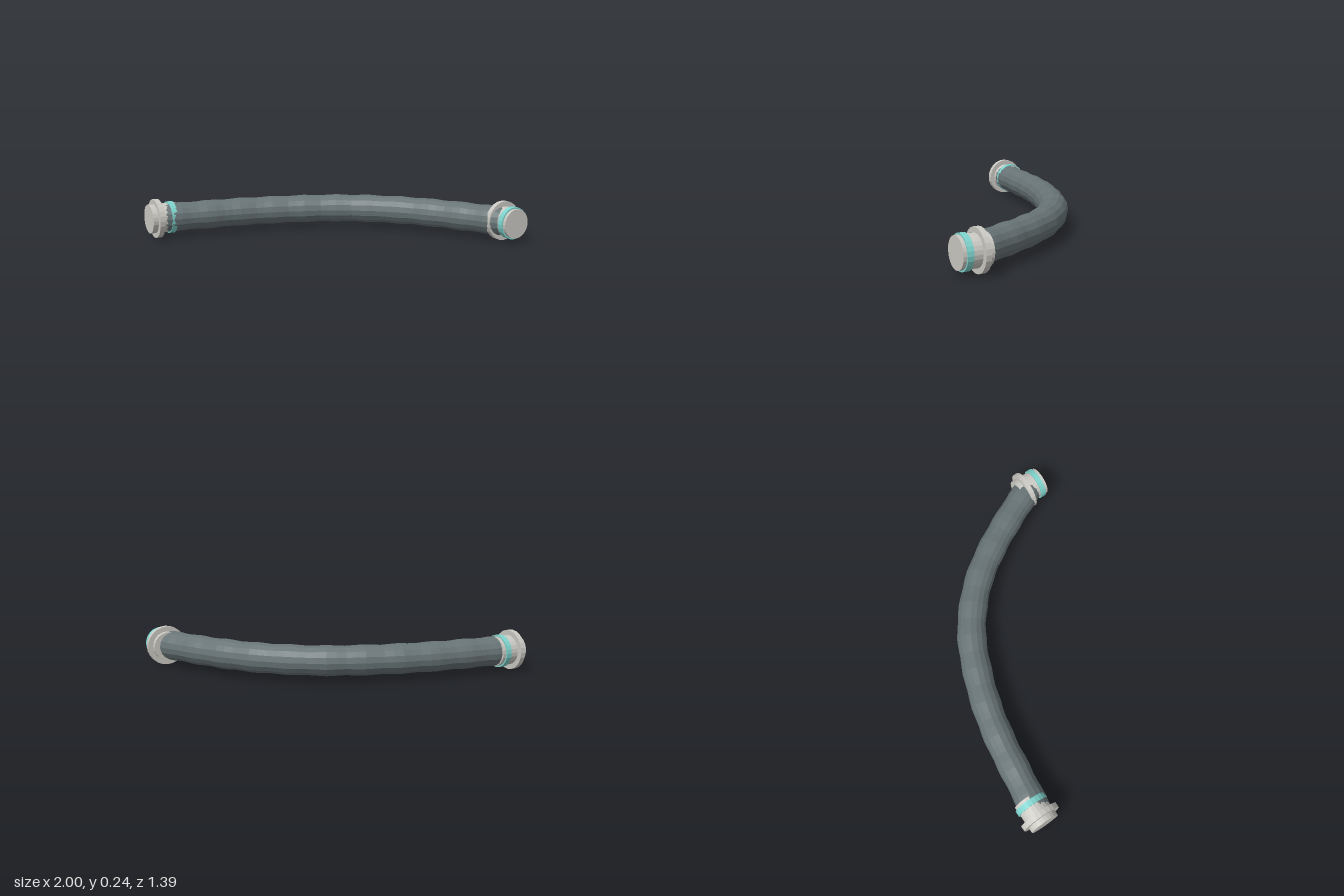
import * as THREE from 'three';

const AXIS_Y = 0.122;

const flat = (name, color, extra = {}) =>
  new THREE.MeshStandardMaterial({ name, color, flatShading: true, ...extra });

// Curved hose whose radius swells gently along its length
function makeHose(material) {
  const path = new THREE.CatmullRomCurve3([
    [-0.913, -0.573], [-0.65, -0.54], [-0.42, -0.507], [-0.2, -0.455],
    [0, -0.385], [0.2, -0.293], [0.366, -0.175], [0.52, -0.02],
    [0.655, 0.176], [0.77, 0.39], [0.87, 0.6],
  ].map(([x, z]) => new THREE.Vector3(x, AXIS_Y, z)));

  const segments = 42, sides = 16, radius = 0.09, swell = 0.003, pitch = 0.213;
  const geometry = new THREE.TubeGeometry(path, segments, radius, sides);
  const pos = geometry.attributes.position;
  const length = path.getLength();
  const v = new THREE.Vector3();
  for (let i = 0; i <= segments; i++) {
    const u = i / segments;
    const centre = path.getPointAt(u);
    const r = radius + swell * Math.cos(((u - 0.5) * length / pitch) * Math.PI * 2);
    for (let j = 0; j <= sides; j++) {
      const k = i * (sides + 1) + j;
      v.fromBufferAttribute(pos, k).sub(centre).setLength(r).add(centre);
      pos.setXYZ(k, v.x, v.y, v.z);
    }
  }
  geometry.computeVertexNormals();
  const hose = new THREE.Mesh(geometry, material);
  hose.name = 'hose';
  return hose;
}

// End fitting along +y: sleeve, wide flange and coloured seal ring
function makeFitting(name, metal, seal) {
  const group = new THREE.Group();
  group.name = name;
  const parts = [
    ['sleeve', 0.091, 0, 0.175, metal],
    ['flange', 0.122, 0.033, 0.065, metal],
    ['sealRing', 0.1, 0.12, 0.155, seal],
  ];
  for (const [part, r, from, to, material] of parts) {
    const mesh = new THREE.Mesh(new THREE.CylinderGeometry(r, r, to - from, 24), material);
    mesh.name = part;
    mesh.position.y = (from + to) / 2;
    group.add(mesh);
  }
  return group;
}

export function createModel() {
  const rubber = flat('hose grey', 0x687476, { side: THREE.DoubleSide });
  const metal = flat('fitting light grey', 0xcbc9c3);
  const seal = flat('seal turquoise', 0x7fd3cd);

  const model = new THREE.Group();
  model.name = 'curvedHose';
  model.add(makeHose(rubber));

  // Fitting pointing along x at one end
  const sideFitting = makeFitting('sideFitting', metal, seal);
  sideFitting.rotation.z = -Math.PI / 2;
  sideFitting.position.set(-1, AXIS_Y, -0.575);

  // Fitting pointing along z at the other end
  const frontFitting = makeFitting('frontFitting', metal, seal);
  frontFitting.rotation.x = Math.PI / 2;
  frontFitting.position.set(0.877, AXIS_Y, 0.522);

  model.add(sideFitting, frontFitting);
  return model;
}
